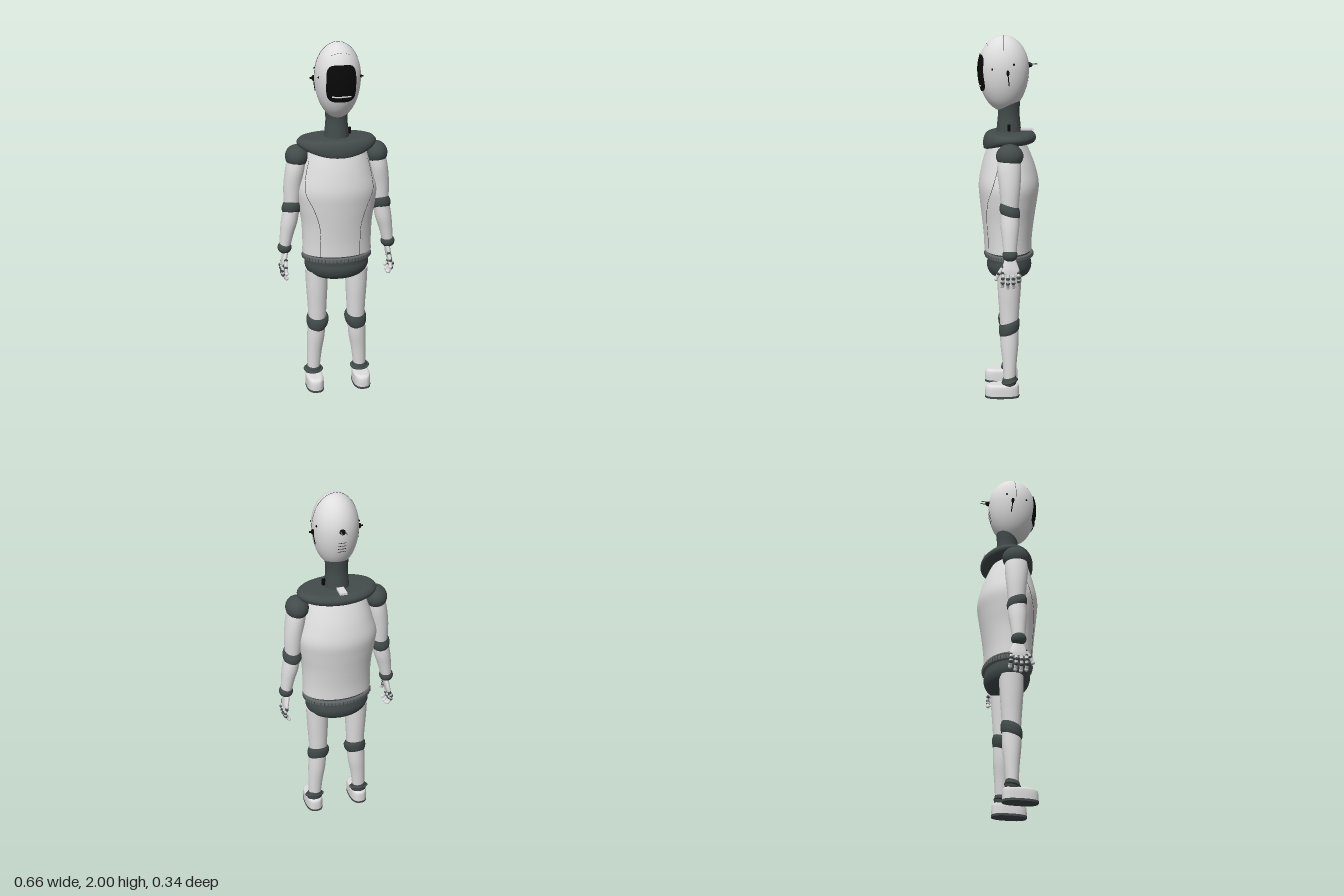
import * as THREE from 'three';
import { mergeGeometries } from 'three/addons/utils/BufferGeometryUtils.js';

const mat = (name, color, side = THREE.FrontSide) => {
  const m = new THREE.MeshStandardMaterial({ color, side });
  m.name = name;
  return m;
};
const shell = mat('white shell', 0xdedede);
const joint = mat('dark joint', 0x434b4b);
const black = mat('black gloss', 0x090909, THREE.DoubleSide);
const band = mat('belt grey', 0x626768);
const seamMat = mat('seam grey', 0x3a3a3a);

// Smoothly sample cross-sections [y, centreX, radiusX, centreZ, radiusZ]
function ringAt(rings, v) {
  const n = rings.length - 1, i = Math.min(Math.floor(v), n - 1), t = v - i;
  const at = (k) => rings[Math.max(0, Math.min(n, k))];
  const [a, b, c, d] = [at(i - 1), at(i), at(i + 1), at(i + 2)];
  return b.map((p1, k) => {
    const m0 = (c[k] - a[k]) / 2, m1 = (d[k] - p1) / 2;
    return p1 + m0 * t + (3 * (c[k] - p1) - 2 * m0 - m1) * t * t + (2 * (p1 - c[k]) + m0 + m1) * t ** 3;
  });
}

// Point on a cross-section; p = 2 is an ellipse, higher is boxier
function ringPoint([y, cx, rx, cz, rz], a, p = 2) {
  const f = (c) => Math.sign(c) * Math.abs(c) ** (2 / p);
  return new THREE.Vector3(cx + rx * f(Math.cos(a)), y, cz + rz * f(Math.sin(a)));
}

// Closed skin through cross-sections listed bottom to top
function loft(rings, { p = 2, warp, seg = 40, sub = 5 } = {}) {
  const rows = (rings.length - 1) * sub, pos = [], idx = [];
  const put = (v) => { if (warp) warp(v); pos.push(v.x, v.y, v.z); };
  const addRow = (v) => {
    const r = ringAt(rings, v);
    for (let j = 0; j < seg; j++) put(ringPoint(r, (j / seg) * Math.PI * 2, p));
    return r;
  };
  for (let i = 0; i <= rows; i++) addRow(i / sub);
  for (let i = 0; i < rows; i++) for (let j = 0; j < seg; j++) {
    const a = i * seg + j, b = i * seg + (j + 1) % seg;
    idx.push(a, a + seg, b, b, a + seg, b + seg);
  }
  for (const top of [false, true]) {
    const s = pos.length / 3, r = addRow(top ? rings.length - 1 : 0);
    put(new THREE.Vector3(r[1], r[0], r[3]));
    for (let j = 0; j < seg; j++) {
      const a = s + j, b = s + (j + 1) % seg;
      idx.push(s + seg, top ? b : a, top ? a : b);
    }
  }
  const g = new THREE.BufferGeometry();
  g.setAttribute('position', new THREE.Float32BufferAttribute(pos, 3));
  g.setIndex(idx);
  g.computeVertexNormals();
  return g;
}

function add(parent, name, geo, material, x = 0, y = 0, z = 0) {
  const m = new THREE.Mesh(geo, material);
  m.name = name;
  m.position.set(x, y, z);
  parent.add(m);
  return m;
}
const ball = (rx, ry, rz) => new THREE.SphereGeometry(1, 32, 20).scale(rx, ry, rz);
const tube = (pts, r, n = 40) => new THREE.TubeGeometry(new THREE.CatmullRomCurve3(pts), n, r, 6);
const V = (x, y, z) => new THREE.Vector3(x, y, z);
const tilt = (cy, k) => (v) => { v.y += k * v.z; };

// Egg-shaped head
const headR = (y) => Math.sqrt(Math.max(0, 1 - ((y - 1.82) / (y > 1.82 ? 0.18 : 0.23)) ** 2));
const headZ = (x, y, s = 1) => 0.028 + s * 0.138 * Math.sqrt(Math.max(0, headR(y) ** 2 - (x / 0.125) ** 2));

function buildHead(root) {
  const head = new THREE.Group();
  head.name = 'head';
  root.add(head);
  const rings = [];
  for (let i = 0; i <= 24; i++) {
    const c = Math.cos(Math.PI * (1 - i / 24)), y = 1.82 + c * (c > 0 ? 0.18 : 0.23), r = headR(y) + 1e-4;
    rings.push([y, 0, 0.125 * r, 0.028, 0.138 * r]);
  }
  add(head, 'skull', loft(rings, { seg: 56, sub: 2 }), shell);

  // Visor: rounded patch that follows the face
  const visor = new THREE.RingGeometry(0.0001, 1, 56, 12), p = visor.attributes.position;
  for (let i = 0; i < p.count; i++) {
    const x = p.getX(i), y = p.getY(i), r = Math.hypot(x, y);
    const k = r / Math.pow((x / r) ** 4 + (y / r) ** 4, 0.25) / r;
    const X = 0.08 * x * k, Y = 1.8 + 0.1 * y * k;
    p.setXYZ(i, X, Y, headZ(X, Y) + 0.005);
  }
  visor.computeVertexNormals();
  add(head, 'visor', visor, black);
  const arc = (y0, half, dy, off, s = 1) => Array.from({ length: 9 }, (_, i) => {
    const x = half * (i / 4 - 1), y = y0 + dy * (1 - (i / 4 - 1) ** 2);
    return V(x, y, headZ(x, y, s) + s * off);
  });
  add(head, 'mouthLine', tube(arc(1.73, 0.05, 0, 0.006), 0.004), shell);
  for (let i = -3; i <= 3; i++) {
    const x = i * 0.015, y = 1.955 - 0.01 * (i / 3) ** 2;
    add(head, 'browDash', new THREE.BoxGeometry(0.008, 0.002, 0.002), seamMat, x, y, headZ(x, y));
  }
  // Crown seam from ear to ear
  const crown = [];
  for (let i = 0; i <= 24; i++) {
    const a = (i / 24) * Math.PI;
    crown.push(V(0.1255 * Math.cos(a), 1.82 + 0.1805 * Math.sin(a), 0.028));
  }
  add(head, 'crownSeam', tube(crown, 0.001, 60), seamMat);
  for (const s of [1, -1]) {
    add(head, 'earDisc', ball(0.012, 0.016, 0.008), black, s * 0.125, 1.805, 0.007);
    add(head, 'earPin', new THREE.CylinderGeometry(0.005, 0.005, 0.03, 12).rotateZ(Math.PI / 2), black, s * 0.13, 1.805, 0.007);
    add(head, 'earSlot', tube([V(s * 0.124, 1.8, 0.007), V(s * 0.121, 1.77, 0.004), V(s * 0.115, 1.735, 0)], 0.003), black);
    for (const [x, y, z] of [[0.112, 1.825, 0.09], [0.115, 1.85, -0.025]])
      add(head, 'sideSensor', ball(0.005, 0.006, 0.005), black, s * x, y, z);
    add(head, 'antennaPin', new THREE.BoxGeometry(0.004, 0.004, 0.05), band, s * 0.012, 1.845, -0.13);
  }
  add(head, 'rearClip', ball(0.016, 0.014, 0.022), black, 0, 1.84, -0.108);
  for (let i = 0; i < 4; i++)
    add(head, 'rearVent', tube(arc(1.775 - i * 0.018, 0.022, 0, 0.0005, -1), 0.0018), seamMat);
}

function buildBody(root) {
  const body = new THREE.Group();
  body.name = 'body';
  root.add(body);
  add(body, 'neck', loft([[1.46, 0, 0.07, 0, 0.07], [1.52, 0, 0.064, 0, 0.064], [1.58, 0, 0.06, 0, 0.059], [1.65, 0, 0.066, 0, 0.062]]), joint);
  add(body, 'neckSocket', new THREE.BoxGeometry(0.02, 0.035, 0.014), black, 0.07, 1.505, 0);
  add(body, 'rearPlug', new THREE.BoxGeometry(0.04, 0.012, 0.07), shell, 0, 1.49, -0.1);

  // Collar drooping towards the chest
  const droop = (v) => {
    if (v.z > 0) v.y -= 0.045 * (v.z / 0.14) ** 2 * Math.min(1, (1.48 - v.y) / 0.045);
  };
  add(body, 'collar', loft([[1.415, 0, 0.15, -0.004, 0.11], [1.427, 0, 0.2, -0.004, 0.136], [1.447, 0, 0.218, -0.004, 0.145],
    [1.466, 0, 0.21, -0.004, 0.138], [1.478, 0, 0.18, -0.004, 0.115], [1.48, 0, 0.06, 0, 0.05]], { warp: droop, seg: 64 }), joint);

  const torso = [[0.822, 0, 0.194, 0.005, 0.131], [0.9, 0, 0.193, 0.005, 0.134], [1.0, 0, 0.198, 0.004, 0.145], [1.1, 0, 0.214, 0.002, 0.158],
    [1.19, 0, 0.223, 0, 0.166], [1.28, 0, 0.2, 0.002, 0.15], [1.36, 0, 0.176, 0.006, 0.125], [1.435, 0, 0.15, 0.01, 0.095]];
  add(body, 'torso', loft(torso, { seg: 64 }), shell);
  // Curved side seams sunk into the shell
  const seamCos = [0.56, 0.57, 0.58, 0.68, 0.83, 0.9, 0.92];
  for (const s of [1, -1]) {
    const pts = seamCos.map((c, i) => {
      const a = Math.acos(c), q = ringPoint(ringAt(torso, i), a);
      return V(s * q.x, q.y, q.z);
    });
    add(body, 'torsoSeam', tube(pts, 0.0014, 70), seamMat);
  }

  add(body, 'waist', loft([[0.76, 0, 0.178, 0, 0.12], [0.83, 0, 0.178, 0, 0.12]]), joint);
  add(body, 'belt', loft([[0.782, 0, 0.188, 0, 0.13], [0.786, 0, 0.194, 0, 0.135], [0.806, 0, 0.194, 0, 0.135], [0.81, 0, 0.188, 0, 0.13]], { seg: 64 }), band);
  const ribs = [];
  for (let i = 0; i < 56; i++) {
    const a = (i / 56) * Math.PI * 2;
    ribs.push(new THREE.BoxGeometry(0.004, 0.018, 0.004).translate(0.194 * Math.cos(a), 0.796, 0.135 * Math.sin(a)));
  }
  add(body, 'beltRibs', mergeGeometries(ribs), joint);
  add(body, 'hips', loft([[0.667, 0, 0.07, -0.002, 0.06], [0.675, 0, 0.12, -0.002, 0.09], [0.695, 0, 0.158, -0.002, 0.112],
    [0.73, 0, 0.178, -0.002, 0.124], [0.765, 0, 0.18, -0.002, 0.12], [0.785, 0, 0.172, -0.002, 0.115]], { seg: 56 }), joint);
}

function buildArm(root, s) {
  const arm = new THREE.Group();
  arm.name = s > 0 ? 'leftArm' : 'rightArm';
  root.add(arm);
  add(arm, 'shoulder', ball(0.063, 0.064, 0.073), joint, s * 0.22, 1.375, 0);
  add(arm, 'upperArm', loft([[1.09, s * 0.25, 0.043, 0, 0.046], [1.2, s * 0.243, 0.052, 0, 0.056], [1.3, s * 0.23, 0.055, 0.003, 0.064], [1.37, s * 0.22, 0.05, 0.003, 0.058]]), shell);
  add(arm, 'elbow', loft([[1.05, s * 0.253, 0.042, 0, 0.044], [1.065, s * 0.253, 0.051, 0, 0.053], [1.09, s * 0.252, 0.053, 0, 0.055], [1.115, s * 0.25, 0.045, 0, 0.048]], { warp: tilt(1.08, 0.3) }), joint);
  add(arm, 'forearm', loft([[0.85, s * 0.293, 0.03, 0, 0.034], [0.93, s * 0.28, 0.038, 0, 0.042], [1.0, s * 0.266, 0.046, 0, 0.05], [1.07, s * 0.254, 0.046, 0, 0.05]]), shell);
  add(arm, 'wrist', ball(0.039, 0.036, 0.041), joint, s * 0.293, 0.852, 0);
  add(arm, 'palm', loft([[0.748, s * 0.302, 0.012, -0.003, 0.046], [0.775, s * 0.298, 0.015, -0.003, 0.046], [0.83, s * 0.288, 0.016, 0, 0.028]], { seg: 24 }), shell);
  // Fingers: pale segments between dark knuckles
  const digit = (name, pts) => {
    for (let i = 0; i < pts.length; i++) {
      add(arm, name + 'Knuckle', ball(0.0105, 0.0105, 0.0105), i === pts.length - 1 ? shell : joint, ...pts[i].toArray());
      if (i) add(arm, name + 'Segment', tube([pts[i - 1], pts[i]], 0.0095, 2), shell);
    }
  };
  [0.038, 0.011, -0.017, -0.044].forEach((z, i) => {
    const k = [0.95, 1.05, 1, 0.8][i];
    digit('finger', [[0.302, 0], [0.312, 0.028], [0.308, 0.053], [0.29, 0.078]].map(([x, d]) => V(s * x, 0.753 - d * k, z * (1 + d))));
  });
  digit('thumb', [V(s * 0.292, 0.785, 0.038), V(s * 0.296, 0.75, 0.062), V(s * 0.294, 0.72, 0.076)]);
}

function buildLeg(root, s) {
  const leg = new THREE.Group();
  leg.name = s > 0 ? 'leftLeg' : 'rightLeg';
  root.add(leg);
  add(leg, 'thigh', loft([[0.41, s * 0.112, 0.05, 0, 0.05], [0.5, s * 0.112, 0.054, 0, 0.056], [0.6, s * 0.113, 0.06, 0, 0.063], [0.71, s * 0.114, 0.064, -0.002, 0.068]]), shell);
  add(leg, 'knee', loft([[0.36, s * 0.115, 0.05, 0, 0.05], [0.38, s * 0.112, 0.06, 0, 0.056], [0.41, s * 0.109, 0.063, 0, 0.058], [0.432, s * 0.11, 0.055, 0, 0.053]], { warp: tilt(0.4, -0.35) }), joint);
  add(leg, 'shin', loft([[0.09, s * 0.135, 0.035, -0.002, 0.033], [0.2, s * 0.129, 0.042, -0.002, 0.04], [0.3, s * 0.12, 0.05, -0.001, 0.05], [0.39, s * 0.115, 0.05, 0, 0.052]]), shell);
  add(leg, 'ankle', loft([[0.065, s * 0.136, 0.042, 0, 0.038], [0.09, s * 0.136, 0.046, 0, 0.041], [0.115, s * 0.135, 0.038, 0, 0.036]], { warp: tilt(0.09, -0.25) }), joint);
  add(leg, 'ankleRing', loft([[0.084, s * 0.136, 0.05, 0, 0.038], [0.091, s * 0.136, 0.056, 0, 0.043], [0.098, s * 0.136, 0.05, 0, 0.038]], { warp: tilt(0.09, -0.25) }), joint);
  add(leg, 'foot', loft([[0.012, s * 0.136, 0.049, 0.04, 0.095], [0.04, s * 0.136, 0.049, 0.04, 0.095], [0.06, s * 0.136, 0.048, 0.039, 0.093],
    [0.07, s * 0.136, 0.045, 0.037, 0.088], [0.076, s * 0.136, 0.036, 0.033, 0.078]], { p: 2.6 }), shell);
  add(leg, 'sole', loft([[0, s * 0.136, 0.05, 0.04, 0.096], [0.012, s * 0.136, 0.05, 0.04, 0.096]], { p: 2.6, sub: 1 }), joint);
}

export function createModel() {
  const root = new THREE.Group();
  root.name = 'humanoidRobot';
  buildHead(root);
  buildBody(root);
  for (const s of [1, -1]) {
    buildArm(root, s);
    buildLeg(root, s);
  }
  return root;
}
